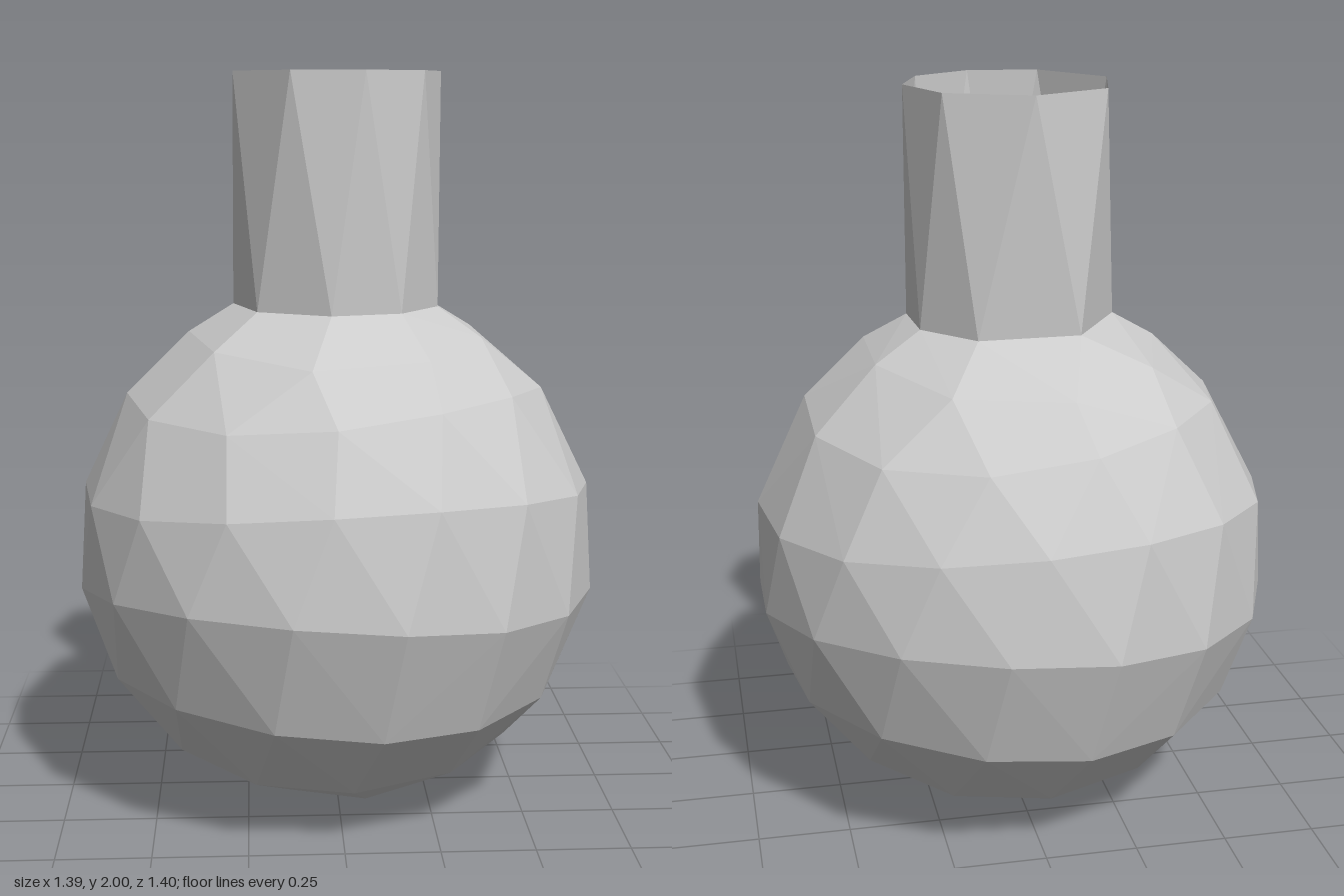
import * as THREE from 'three';
import { ConvexGeometry } from 'three/addons/geometries/ConvexGeometry.js';

const R = 0.715;          // bulb radius and centre height
const NECK_Y = 1.38;
const NECK_R = 0.28;
const rad = THREE.MathUtils.degToRad;

// Irregular octagon in a horizontal plane
function ring(angles, y) {
  return angles.map((a) => new THREE.Vector3(NECK_R * Math.cos(rad(a)), y, NECK_R * Math.sin(rad(a))));
}

// Keep only the triangles that pass the test
function filterTriangles(geometry, keep) {
  const p = geometry.attributes.position;
  const out = [];
  for (let i = 0; i < p.count; i += 3) {
    const tri = [0, 1, 2].map((k) => new THREE.Vector3().fromBufferAttribute(p, i + k));
    if (keep(tri)) tri.forEach((v) => out.push(v.x, v.y, v.z));
  }
  return fromPositions(out);
}

function fromPositions(positions) {
  const g = new THREE.BufferGeometry();
  g.setAttribute('position', new THREE.Float32BufferAttribute(positions, 3));
  g.computeVertexNormals();
  return g;
}

export function createModel() {
  const group = new THREE.Group();
  group.name = 'roundFlask';
  const material = new THREE.MeshStandardMaterial({
    color: 0xcccccc, flatShading: true, side: THREE.DoubleSide,
  });

  const neckTop = ring([0, 38, 77, 117, 168, 219, 268, 318], 2);
  const neckBase = ring([15, 55, 95, 140, 185, 240, 298, 338], NECK_Y);

  // Bulb: wavering rings of points on a sphere, hulled into uneven facets
  const points = [new THREE.Vector3(-0.08, 0.005, 0.01), ...neckBase];
  const rows = [
    // latitude, point count, turn
    [-73, 5, 0], [-51, 10, 14], [-29, 14, 4], [-6, 16, 11],
    [16, 16, 3], [37, 13, 9], [53, 9, 20],
  ];
  rows.forEach(([lat, count, turn], row) => {
    for (let i = 0; i < count; i++) {
      const a = rad(turn + (360 * i) / count);
      const b = rad(lat + 3 * Math.sin(2 * a + row * 1.3));
      points.push(new THREE.Vector3(
        R * Math.cos(b) * Math.cos(a), R + R * Math.sin(b), R * Math.cos(b) * Math.sin(a),
      ));
    }
  });
  // Open the hull where the neck joins
  const bulbGeometry = filterTriangles(
    new ConvexGeometry(points), (tri) => tri.some((v) => v.y < NECK_Y - 0.001),
  );
  const bulb = new THREE.Mesh(bulbGeometry, material);
  bulb.name = 'bulb';
  group.add(bulb);

  // Neck: open tube, its rim twisted against its base
  const neckPositions = [];
  const addTriangle = (...tri) => tri.forEach((v) => neckPositions.push(v.x, v.y, v.z));
  neckTop.forEach((top, i) => {
    const j = (i + 1) % neckTop.length;
    addTriangle(top, neckTop[j], neckBase[i]);
    addTriangle(neckTop[j], neckBase[j], neckBase[i]);
  });
  const neck = new THREE.Mesh(fromPositions(neckPositions), material);
  neck.name = 'neck';
  group.add(neck);

  return group;
}
